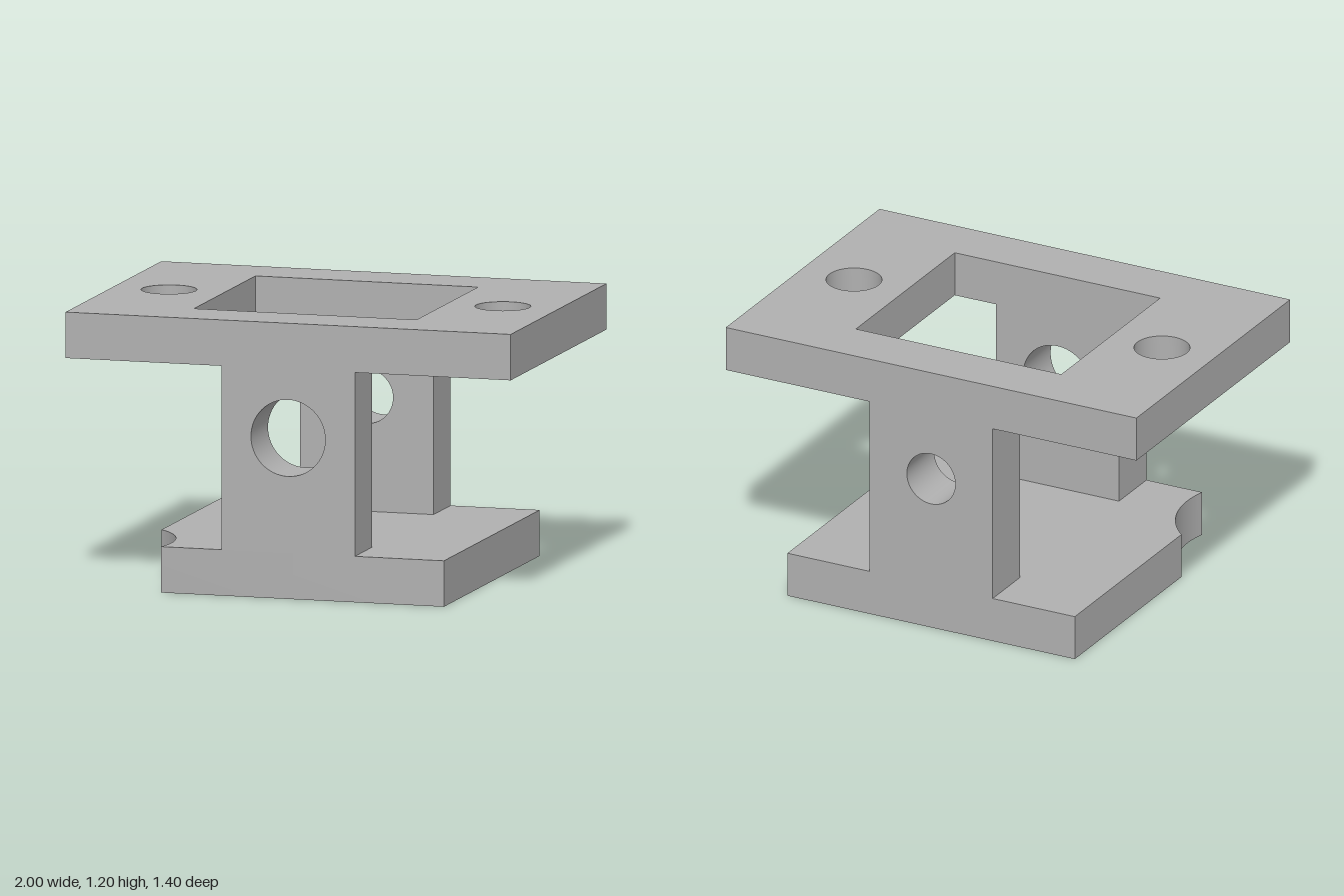
import * as THREE from 'three';
import { toCreasedNormals } from 'three/addons/utils/BufferGeometryUtils.js';

const grey = new THREE.MeshStandardMaterial({ color: 0xb0b0b0 });
grey.name = 'plain grey';

function rectangle(Type, x0, y0, x1, y1) {
  return new Type([[x0, y0], [x1, y0], [x1, y1], [x0, y1]].map(([x, y]) => new THREE.Vector2(x, y)));
}

function circle(x, y, r) {
  return new THREE.Path().absarc(x, y, r, 0, Math.PI * 2, true);
}

function extrude(shape, depth) {
  return new THREE.ExtrudeGeometry(shape, { depth, bevelEnabled: false, curveSegments: 32 });
}

function addPart(group, name, geometry) {
  const mesh = new THREE.Mesh(toCreasedNormals(geometry, 0.6), grey);
  mesh.name = name;
  group.add(mesh);
}

export function createModel() {
  const model = new THREE.Group();
  model.name = 'mountingBracket';

  // Base plate with one scooped corner at front, x < 0 (shape y is -z)
  const base = new THREE.Shape();
  const cx = -0.987, cy = -0.591, r = 0.43;
  base.moveTo(-0.57, -0.7);
  base.lineTo(0.7, -0.7);
  base.lineTo(0.7, 0.7);
  base.lineTo(-0.7, 0.7);
  base.lineTo(-0.7, -0.27);
  base.absarc(cx, cy, r, Math.atan2(-0.27 - cy, -0.7 - cx), Math.atan2(-0.7 - cy, -0.57 - cx), true);
  addPart(model, 'basePlate', extrude(base, 0.2).rotateX(-Math.PI / 2));

  // Top plate with a window and two screw holes
  const top = rectangle(THREE.Shape, -1, -0.7, 1, 0.7);
  top.holes.push(rectangle(THREE.Path, -0.5, -0.45, 0.5, 0.45), circle(-0.75, 0, 0.12), circle(0.75, 0, 0.12));
  addPart(model, 'topPlate', extrude(top, 0.2).rotateX(-Math.PI / 2).translate(0, 1, 0));

  // Uprights, the front one with the larger bore
  for (const [name, z, bore] of [['frontUpright', 0.45, 0.167], ['backUpright', -0.7, 0.118]]) {
    const upright = rectangle(THREE.Shape, -0.3, 0.2, 0.3, 1);
    upright.holes.push(circle(0, 0.7, bore));
    addPart(model, name, extrude(upright, 0.25).translate(0, 0, z));
  }

  return model;
}
